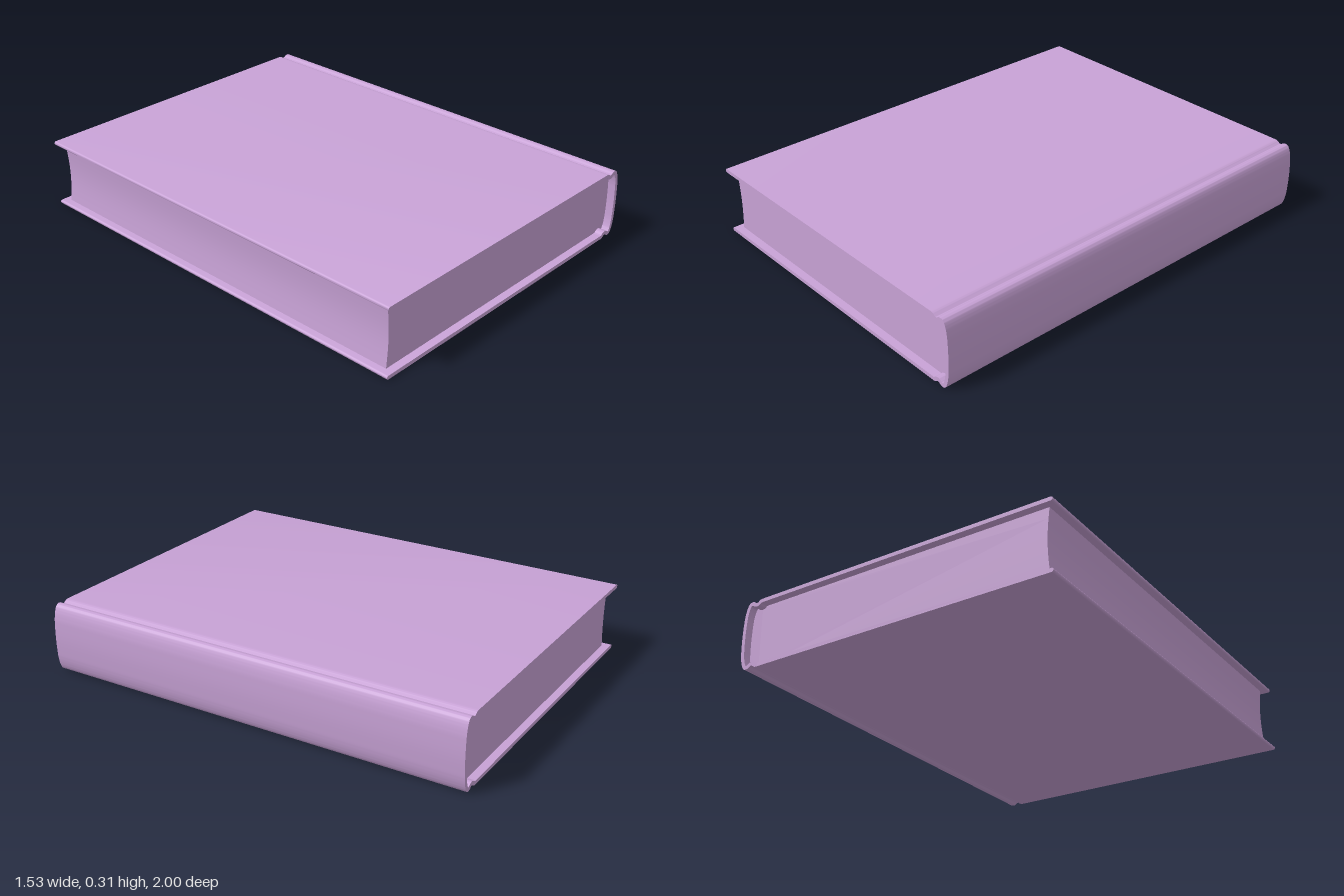
import * as THREE from 'three';
import { toCreasedNormals } from 'three/addons/utils/BufferGeometryUtils.js';

const HEIGHT = 0.314, MID = HEIGHT / 2, THICK = 0.017;
const material = new THREE.MeshStandardMaterial({ color: 0xc8a2d6 });

// Extrude an x-y outline along z, centred on z = 0, smooth except at real edges
function extrude(name, points, length) {
  const geo = new THREE.ExtrudeGeometry(new THREE.Shape(points), { depth: length, bevelEnabled: false });
  geo.translate(0, 0, -length / 2);
  const mesh = new THREE.Mesh(toCreasedNormals(geo, 0.7), material);
  mesh.name = name;
  return mesh;
}

// Centre line of the case: straight board, hinge groove, rounded spine, mirrored below
function caseCentreLine() {
  const h = MID - THICK / 2;
  const upper = [
    [0.65, h], [0.67, h - 0.001], [0.682, h - 0.009], [0.692, h - 0.012],
    [0.703, h - 0.008], [0.715, h - 0.001], [0.727, h - 0.003], [0.736, h - 0.018],
    [0.745, h - 0.055], [0.748, h - 0.095],
  ];
  const lower = upper.map(([x, y]) => [x, -y]).reverse();
  const bend = new THREE.CatmullRomCurve3(
    [...upper, [0.7495, 0], ...lower].map(([x, y]) => new THREE.Vector3(x, y, 0)), false, 'centripetal');
  const pts = bend.getPoints(110).map((p) => new THREE.Vector2(p.x, p.y + MID));
  const edge = -0.757 + THICK / 2;
  return [new THREE.Vector2(edge, MID + h), ...pts, new THREE.Vector2(edge, MID - h)];
}

// Shift a line sideways along its own normals
function offset(line, d) {
  return line.map((p, i) => {
    const a = line[Math.max(i - 1, 0)], b = line[Math.min(i + 1, line.length - 1)];
    const t = b.clone().sub(a).normalize();
    return new THREE.Vector2(p.x - t.y * d, p.y + t.x * d);
  });
}

// Rounded fore edge of a board, from bottom to top or top to bottom
function roundEnd(centre, from, to) {
  const out = [];
  for (let i = 1; i < 8; i++) {
    const a = from + ((to - from) * i) / 8;
    out.push(new THREE.Vector2(centre.x + Math.cos(a) * THICK / 2, centre.y + Math.sin(a) * THICK / 2));
  }
  return out;
}

export function createModel() {
  const book = new THREE.Group();
  book.name = 'book';
  const line = caseCentreLine();
  const outer = offset(line, THICK / 2), inner = offset(line, -THICK / 2);

  // Cover: both boards and the spine as one bent sheet
  const cover = [
    ...outer,
    ...roundEnd(line[line.length - 1], 1.5 * Math.PI, 0.5 * Math.PI),
    ...inner.slice().reverse(),
    ...roundEnd(line[0], 1.5 * Math.PI, 0.5 * Math.PI),
  ];
  book.add(extrude('cover', cover, 1.99));

  // Page block: fills the case, with a slightly hollow fore edge
  const pages = offset(line, -THICK / 2 + 0.0005).slice(1, -1);
  const top = MID * 2 - THICK + 0.0005, bottom = THICK - 0.0005;
  for (let i = 0; i <= 12; i++) {
    const t = i / 12;
    pages.push(new THREE.Vector2(-0.722 + 0.01 * Math.sin(Math.PI * t), bottom + (top - bottom) * t));
  }
  book.add(extrude('pages', pages, 1.92));

  // The book lies very slightly turned
  book.rotation.y = 0.006;
  const model = new THREE.Group();
  model.name = 'model';
  model.add(book);
  return model;
}
